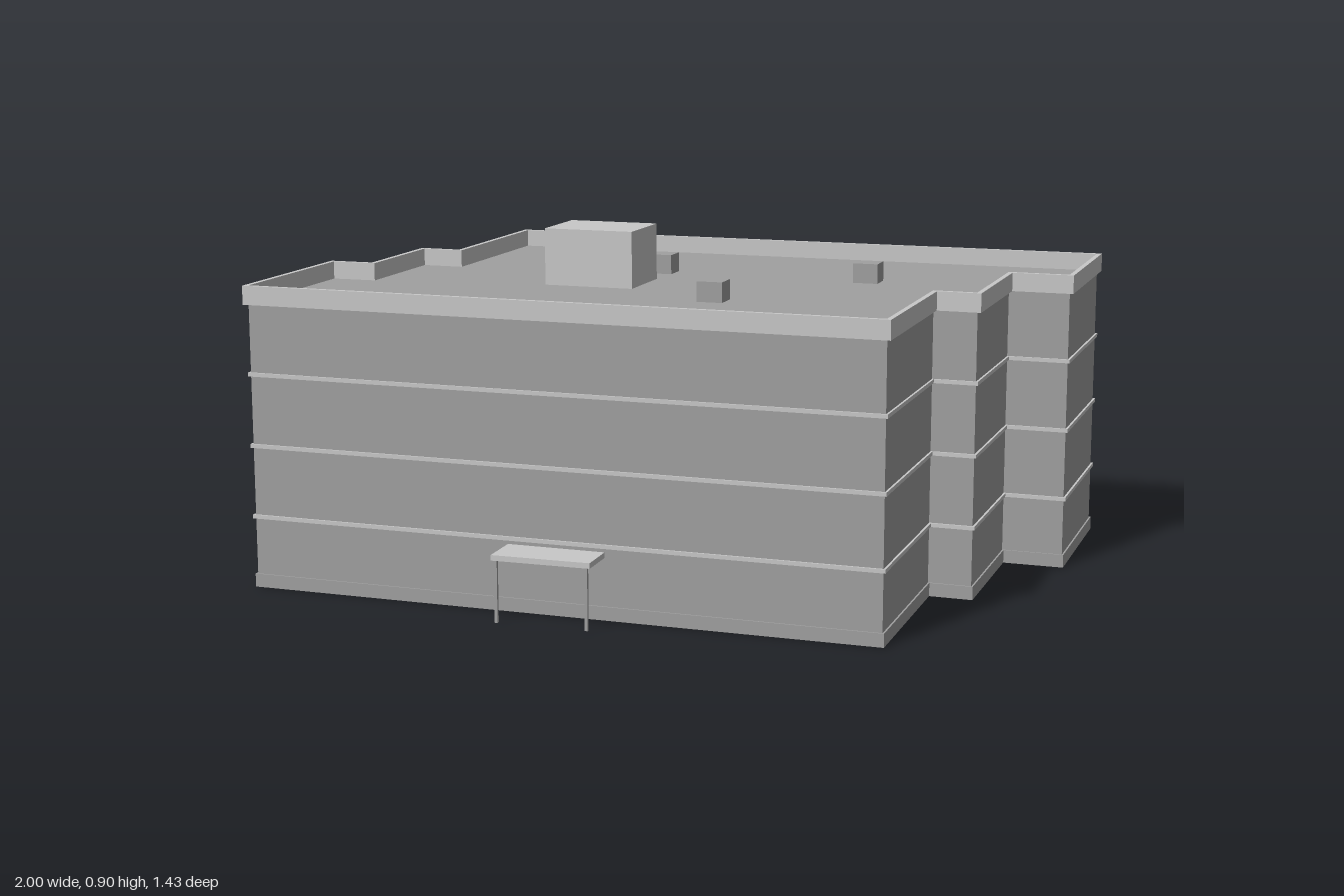
import * as THREE from 'three';

export function createModel() {
  const model = new THREE.Group();
  model.name = 'officeBlock';

  const wallGrey = new THREE.MeshStandardMaterial({ color: 0xa0a0a0, side: THREE.DoubleSide });
  wallGrey.name = 'wall grey';
  const trimGrey = new THREE.MeshStandardMaterial({ color: 0xc8c8c8 });
  trimGrey.name = 'trim light grey';

  const add = (name, geometry, material) => {
    const mesh = new THREE.Mesh(geometry, material);
    mesh.name = name;
    model.add(mesh);
    return mesh;
  };

  // Stepped, slightly skewed footprint at the parapet's outer edge (x, -z), anticlockwise
  const footprint = [
    [-1.0, -0.596], [0.693, -0.632], [0.703, -0.157], [0.816, -0.161],
    [0.826, 0.229], [0.988, 0.225], [0.998, 0.687], [-0.743, 0.716],
    [-0.751, 0.223], [-0.866, 0.226], [-0.871, -0.098], [-0.992, -0.098],
  ].map(([x, y]) => new THREE.Vector2(x, y));

  // Move every side of the footprint outwards by d, with mitred corners
  const offset = (d) => footprint.map((p, i) => {
    const n = footprint.length;
    const a = p.clone().sub(footprint[(i + n - 1) % n]).normalize();
    const b = footprint[(i + 1) % n].clone().sub(p).normalize();
    const na = new THREE.Vector2(a.y, -a.x);
    const nb = new THREE.Vector2(b.y, -b.x);
    const miter = na.clone().add(nb).multiplyScalar(d / (1 + na.dot(nb)));
    return p.clone().add(miter);
  });

  // Closed strip running round the building between two offsets and two heights
  const ring = (outer, inner, y0, y1) => {
    const shape = new THREE.Shape(offset(outer));
    shape.holes.push(new THREE.Path(offset(inner).reverse()));
    return new THREE.ExtrudeGeometry(shape, { depth: y1 - y0, bevelEnabled: false })
      .rotateX(-Math.PI / 2).translate(0, y0, 0);
  };

  const WALL = -0.011;
  const ROOF_Y = 0.745;

  // Outer walls: thin sheets, open underneath
  const line = offset(WALL);
  const corners = [];
  line.forEach((p, i) => {
    const q = line[(i + 1) % line.length];
    corners.push(p.x, 0, -p.y, q.x, 0, -q.y, q.x, ROOF_Y, -q.y);
    corners.push(p.x, 0, -p.y, q.x, ROOF_Y, -q.y, p.x, ROOF_Y, -p.y);
  });
  const walls = new THREE.BufferGeometry();
  walls.setAttribute('position', new THREE.Float32BufferAttribute(corners, 3));
  walls.computeVertexNormals();
  add('walls', walls, wallGrey);

  // Flat roof
  const roof = new THREE.ShapeGeometry(new THREE.Shape(line));
  add('roof', roof.rotateX(-Math.PI / 2).translate(0, ROOF_Y, 0), wallGrey);

  // Plinth, floor bands and parapet
  add('plinth', ring(WALL + 0.005, WALL + 0.0005, 0, 0.035), wallGrey);
  [0.188, 0.375, 0.562].forEach((y, i) =>
    add(`floorBand${i + 1}`, ring(WALL + 0.006, WALL + 0.0005, y - 0.005, y + 0.005), trimGrey));
  add('parapet', ring(0, WALL - 0.002, ROOF_Y - 0.002, 0.792), trimGrey);

  // Roof house and small vents, turned with the building
  const roofBox = (name, x, z, w, h, d, material) => {
    const box = add(name, new THREE.BoxGeometry(w, h, d), material);
    box.position.set(x, ROOF_Y + h / 2, z);
    box.rotation.y = -0.02;
  };
  roofBox('roofHouse', -0.262, -0.052, 0.247, 0.152, 0.198, trimGrey);
  [[-0.16, -0.28], [0.426, -0.27], [0.125, 0.18]].forEach(([x, z], i) =>
    roofBox(`roofVent${i + 1}`, x, z, 0.068, 0.053, 0.066, wallGrey));

  // Entrance canopy on two thin posts
  add('canopy', new THREE.BoxGeometry(0.258, 0.014, 0.114), trimGrey).position.set(-0.153, 0.166, 0.657);
  for (const x of [-0.272, -0.036]) {
    add('canopyPost', new THREE.BoxGeometry(0.008, 0.16, 0.008), wallGrey).position.set(x, 0.08, 0.706);
  }

  return model;
}
